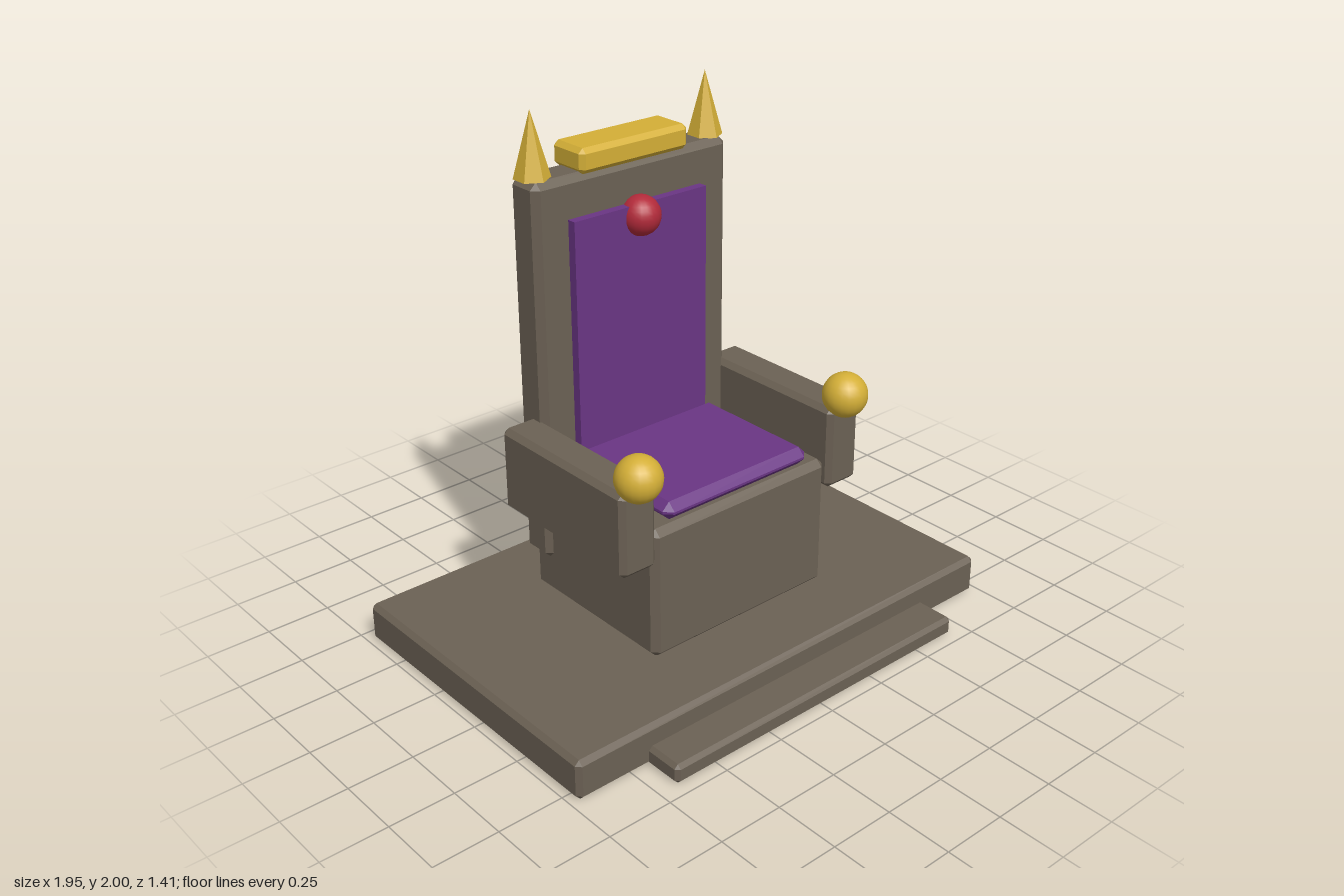
import * as THREE from 'three';
import { ConvexGeometry } from 'three/addons/geometries/ConvexGeometry.js';

const paint = (name, color) => {
  const m = new THREE.MeshStandardMaterial({ color });
  m.name = name;
  return m;
};

// Box with flat chamfers of width c on every edge, given by its min and max corners
function chamferBox([x0, y0, z0], [x1, y1, z1], c) {
  const h = [(x1 - x0) / 2, (y1 - y0) / 2, (z1 - z0) / 2];
  const points = [];
  for (const sx of [-1, 1]) for (const sy of [-1, 1]) for (const sz of [-1, 1])
    for (let face = 0; face < 3; face++) {
      const [x, y, z] = h.map((v, i) => (i === face ? v : v - c));
      points.push(new THREE.Vector3(sx * x, sy * y, sz * z));
    }
  return new ConvexGeometry(points).translate((x0 + x1) / 2, (y0 + y1) / 2, (z0 + z1) / 2);
}

export function createModel() {
  const stone = paint('stone', 0x6b6154);
  const gold = paint('gold', 0xd4af37);
  const velvet = paint('purple velvet', 0x6a3584);
  const ruby = paint('ruby', 0xb22a3a);

  const model = new THREE.Group();
  model.name = 'throne';
  const add = (name, geometry, material) => {
    const mesh = new THREE.Mesh(geometry, material);
    mesh.name = name;
    model.add(mesh);
    return mesh;
  };

  // Platform and front step
  add('platform', chamferBox([-0.975, 0, -0.705], [0.975, 0.155, 0.56], 0.018), stone);
  add('step', chamferBox([-0.68, 0, 0.42], [0.68, 0.075, 0.705], 0.015), stone);

  // Seat block and backrest
  add('seatBlock', chamferBox([-0.415, 0.15, -0.42], [0.415, 0.668, 0.28], 0.026), stone);
  add('backrest', chamferBox([-0.437, 0.303, -0.45], [0.437, 1.762, -0.3], 0.026), stone);

  // Upholstery
  add('seatCushion', chamferBox([-0.34, 0.668, -0.285], [0.34, 0.737, 0.265], 0.03), velvet);
  add('backPanel', new THREE.BoxGeometry(0.6, 0.91, 0.05).translate(0, 1.155, -0.29), velvet);

  // Gold crest and jewel
  add('crest', chamferBox([-0.242, 1.755, -0.462], [0.242, 1.847, -0.29], 0.018), gold);
  add('jewel', new THREE.SphereGeometry(0.075, 20, 14).translate(0, 1.565, -0.275), ruby);

  // Mirrored arms, arm knobs and spires
  for (const [side, s] of [['left', 1], ['right', -1]]) {
    const arm = add(side + 'Armrest', chamferBox([-0.077, 0.545, -0.385], [0.077, 0.87, 0.295], 0.02), stone);
    arm.position.x = s * 0.488;
    const knob = add(side + 'Knob', new THREE.SphereGeometry(0.085, 20, 14), gold);
    knob.position.set(s * 0.487, 0.912, 0.29);
    const spireShape = new THREE.ConeGeometry(0.066, 0.24, 6).toNonIndexed();
    spireShape.computeVertexNormals();
    const spire = add(side + 'Spire', spireShape, gold);
    spire.position.set(s * 0.39, 1.88, -0.375);
  }

  return model;
}
